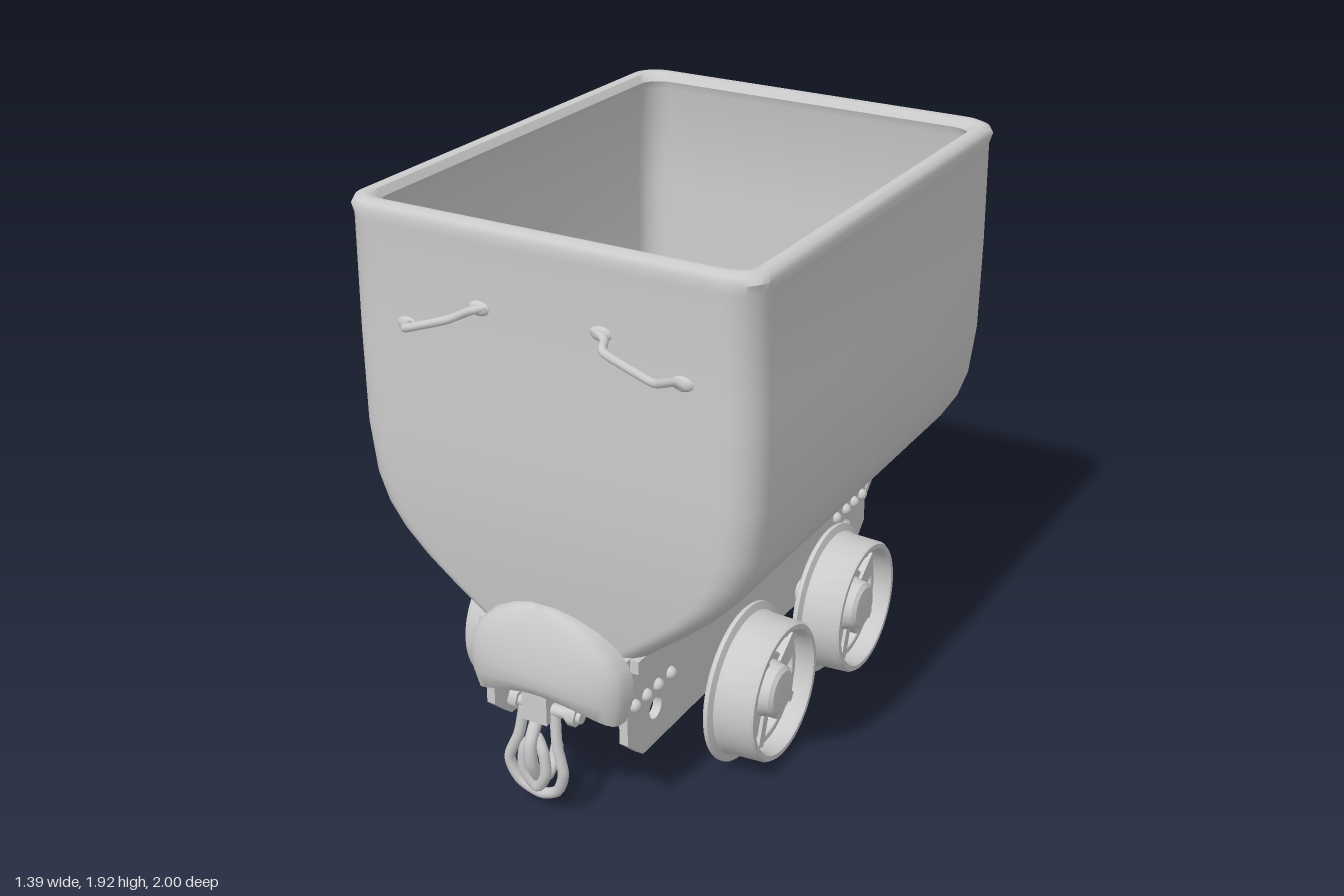
import * as THREE from 'three';
import { toCreasedNormals } from 'three/addons/utils/BufferGeometryUtils.js';

const material = new THREE.MeshStandardMaterial({ color: 0xcccccc });
const V = (x, y, z) => new THREE.Vector3(x, y, z);

function add(parent, name, geometry, x = 0, y = 0, z = 0) {
  const mesh = new THREE.Mesh(geometry, material);
  mesh.name = name;
  mesh.position.set(x, y, z);
  parent.add(mesh);
  return mesh;
}

// Skin over a stack of equal-length rings, capped at both ends
function loft(rings, crease = 0.75) {
  const n = rings[0].length, pos = [], idx = [];
  rings.forEach(r => r.forEach(p => pos.push(p.x, p.y, p.z)));
  for (let i = 0; i < rings.length - 1; i++)
    for (let j = 0; j < n; j++) {
      const k = (j + 1) % n, a = i * n + j, b = i * n + k;
      idx.push(a, b, a + n, b, b + n, a + n);
    }
  [0, rings.length - 1].forEach((i, end) => {
    const c = rings[i].reduce((s, p) => s.add(p), V(0, 0, 0)).divideScalar(n);
    const ci = pos.length / 3;
    pos.push(c.x, c.y, c.z);
    for (let j = 0; j < n; j++) {
      const a = i * n + j, b = i * n + (j + 1) % n;
      idx.push(ci, end ? a : b, end ? b : a);
    }
  });
  const g = new THREE.BufferGeometry();
  g.setAttribute('position', new THREE.Float32BufferAttribute(pos, 3));
  g.setIndex(idx);
  return toCreasedNormals(g, crease);
}

// Rounded rectangle seen from above
function roundedRing(y, hx, zFront, zBack, r) {
  const pts = [], hz = (zFront - zBack) / 2, zc = (zFront + zBack) / 2;
  [[1, 1], [-1, 1], [-1, -1], [1, -1]].forEach(([sx, sz], q) => {
    for (let i = 0; i <= 7; i++) {
      const a = (q + i / 7) * Math.PI / 2;
      const x = sx * (hx - r) + r * Math.cos(a);
      const z = zc - sz * (hz - r) - r * Math.sin(a);
      pts.push(V(x, y - (y > 1.8 ? 0.015 * x : 0), z));
    }
  });
  return pts;
}

function tube(points, radius, closed = false) {
  const curve = new THREE.CatmullRomCurve3(points.map(p => V(...p)), closed, 'catmullrom', 0.4);
  return new THREE.TubeGeometry(curve, 48, radius, 10, closed);
}

function cylinderX(radius, length, sides = 32) {
  return new THREE.CylinderGeometry(radius, radius, length, sides).rotateZ(Math.PI / 2);
}

// Open tub: outer wall up, over the rim, inner wall down
function makeTub(parent) {
  const wall = [ // y, half width, front z, back z
    [0.58, 0.27, 0.855, -0.83], [0.63, 0.33, 0.86, -0.835], [0.70, 0.42, 0.865, -0.84],
    [0.78, 0.515, 0.87, -0.845], [0.86, 0.59, 0.875, -0.85], [0.94, 0.64, 0.88, -0.855],
    [1.03, 0.67, 0.885, -0.865], [1.20, 0.688, 0.89, -0.875], [1.5, 0.69, 0.89, -0.88],
    [1.86, 0.685, 0.89, -0.885],
  ];
  const outer = wall.map(([y, w, f, b]) => roundedRing(y, w, f, b, 0.1));
  const rim = [[1.89, 0.693, 0.1], [1.91, 0.685, 0.1], [1.92, 0.665, 0.09], [1.915, 0.64, 0.08], [1.89, 0.625, 0.08]]
    .map(([y, w, r]) => roundedRing(y, w, w + 0.2, -w - 0.2, r));
  const inner = wall.slice().reverse().map(([y, w, f, b]) =>
    roundedRing(Math.min(y + 0.03, 1.86), w - 0.05, f - 0.05, b + 0.05, 0.08));
  add(parent, 'tub', loft([...outer, ...rim, ...inner]));
}

// Side frame plate with chamfered ends, drain holes and rivets
function makeFrame(parent) {
  const shape = new THREE.Shape([[-0.87, 0.61], [-0.87, 0.31], [-0.78, 0.23], [0.78, 0.23], [0.87, 0.31], [0.87, 0.61]]
    .map(p => new THREE.Vector2(...p)));
  for (const s of [-1, 1]) shape.holes.push(new THREE.Path().absarc(s * 0.7, 0.355, 0.037, 0, Math.PI * 2));
  const plate = new THREE.ExtrudeGeometry(shape, { depth: 0.03, bevelEnabled: false, curveSegments: 20 })
    .rotateY(-Math.PI / 2).translate(0.015, 0, 0);
  for (const s of [-1, 1]) {
    add(parent, 'framePlate', plate, s * 0.245);
    add(parent, 'frameFlange', new THREE.BoxGeometry(0.05, 0.045, 1.7), s * 0.265, 0.585);
    for (const e of [-1, 1]) for (const z of [0.61, 0.69, 0.76, 0.83])
      add(parent, 'rivet', new THREE.SphereGeometry(0.022, 12, 8), s * 0.262, 0.435, e * z);
  }
  add(parent, 'frameTop', new THREE.BoxGeometry(0.5, 0.03, 1.7), 0, 0.585);
}

// Flanged wheel with a pierced web; +x is the outer side, x = 0 the flange face
function makeWheel() {
  const wheel = new THREE.Group();
  wheel.name = 'wheel';
  const profile = [[0.205, 0], [0.265, 0], [0.27, 0.006], [0.27, 0.018], [0.245, 0.026], [0.24, 0.04],
    [0.235, 0.15], [0.228, 0.16], [0.212, 0.16], [0.205, 0.15], [0.2, 0.06], [0.205, 0]];
  const rim = new THREE.LatheGeometry(profile.map(p => new THREE.Vector2(...p)), 56).rotateZ(-Math.PI / 2);
  add(wheel, 'rim', toCreasedNormals(rim, 0.6));

  const web = new THREE.Shape().absarc(0, 0, 0.21, 0, Math.PI * 2);
  for (let i = 0; i < 5; i++) {
    const a = i * Math.PI * 0.4 + 0.3;
    const hole = new THREE.Path();
    hole.absarc(0, 0, 0.185, a + 0.16, a + 1.1, false);
    hole.absarc(0, 0, 0.115, a + 0.93, a + 0.33, true);
    hole.closePath();
    web.holes.push(hole);
    const spoke = add(wheel, 'spokeRib', new THREE.BoxGeometry(0.035, 0.13, 0.035).translate(0.09, 0.14, 0));
    spoke.rotation.x = a;
  }
  add(wheel, 'web', new THREE.ExtrudeGeometry(web, { depth: 0.03, bevelEnabled: true, bevelSize: 0.006,
    bevelThickness: 0.006, bevelSegments: 2, curveSegments: 20 }).rotateY(Math.PI / 2), 0.06);

  const hub = [[0, -0.07], [0.09, -0.07], [0.1, -0.06], [0.1, 0.08], [0.088, 0.12], [0.085, 0.14], [0.07, 0.152], [0, 0.155]];
  add(wheel, 'hub', toCreasedNormals(new THREE.LatheGeometry(hub.map(p => new THREE.Vector2(...p)), 36).rotateZ(-Math.PI / 2), 0.6));
  return wheel;
}

function makeAxle(parent, z) {
  const axle = new THREE.Group();
  axle.name = 'wheelSet';
  axle.position.set(-0.03, 0.275, z);
  parent.add(axle);
  add(axle, 'axleShaft', cylinderX(0.04, 0.76));
  add(axle, 'axlePlate', new THREE.BoxGeometry(0.47, 0.03, 0.2), 0.03, -0.03);
  for (const s of [-1, 1]) {
    const wheel = makeWheel();
    wheel.position.x = s * 0.39;
    if (s < 0) wheel.rotation.y = Math.PI;
    axle.add(wheel);
    add(axle, 'axleBearing', new THREE.BoxGeometry(0.07, 0.1, 0.16), 0.03 + s * 0.215, 0.01);
    for (const e of [-1, 1]) add(axle, 'bearingBolt', new THREE.CylinderGeometry(0.016, 0.016, 0.03, 6), 0.03 + s * 0.19, -0.05, e * 0.07);
  }
}

// Domed buffer, coupling chain and grab handles for one end
function makeEnd() {
  const end = new THREE.Group();
  end.name = 'endFittings';
  const rings = [[0.40, 0.255, 0.87, 0.985], [0.47, 0.275, 0.865, 1.0], [0.55, 0.28, 0.865, 1.0], [0.60, 0.268, 0.87, 0.995],
    [0.65, 0.235, 0.88, 0.985], [0.70, 0.18, 0.895, 0.97], [0.74, 0.105, 0.91, 0.952], [0.76, 0.04, 0.92, 0.94]]
    .map(([y, w, zb, zf]) => Array.from({ length: 40 }, (_, j) => {
      const a = j / 40 * Math.PI * 2, u = Math.cos(a), s = -Math.sin(a);
      const arch = 0.08 * (1 - u * u) * Math.max(0, (0.55 - y) / 0.15);
      return V(w * u, y + arch, s > 0 ? zb + (zf - zb) * Math.pow(s, 0.6) : zb);
    }));
  add(end, 'buffer', loft(rings, 0.9));

  // Coupling: pin, lugs, long outer link, small link and hook
  add(end, 'couplingPin', cylinderX(0.02, 0.26, 16), 0, 0.4, 0.92);
  for (const x of [-0.11, 0.1]) add(end, 'pinNut', cylinderX(0.034, 0.03, 6), x, 0.4, 0.92);
  add(end, 'couplingLug', new THREE.BoxGeometry(0.09, 0.12, 0.1), -0.02, 0.42, 0.91);
  add(end, 'outerLink', tube([[-0.08, 0.4, 0.92], [-0.1, 0.28, 0.93], [-0.14, 0.18, 0.93], [-0.11, 0.1, 0.92], [-0.04, 0.065, 0.91],
    [0.03, 0.1, 0.92], [0.06, 0.18, 0.93], [0.04, 0.28, 0.93], [0.03, 0.4, 0.92]], 0.018));
  add(end, 'innerLink', tube([[-0.04, 0.29, 0.93], [-0.075, 0.24, 0.94], [-0.08, 0.16, 0.94], [-0.04, 0.1, 0.93],
    [0, 0.16, 0.94], [-0.005, 0.24, 0.94]], 0.018, true));
  add(end, 'hook', tube([[-0.04, 0.37, 0.9], [-0.04, 0.28, 0.955], [-0.04, 0.2, 0.955], [-0.04, 0.13, 0.915],
    [-0.04, 0.11, 0.87], [-0.04, 0.14, 0.83], [-0.04, 0.18, 0.81]], 0.021));
  add(end, 'hookTip', new THREE.SphereGeometry(0.021, 12, 8), -0.04, 0.18, 0.81);

  for (const s of [-1, 1]) {
    add(end, 'grabHandle', tube([[s * 0.18, 1.672, 0.885], [s * 0.225, 1.658, 0.905], [s * 0.25, 1.65, 0.955], [s * 0.275, 1.64, 0.966],
      [s * 0.4, 1.595, 0.966], [s * 0.425, 1.585, 0.955], [s * 0.45, 1.575, 0.905], [s * 0.48, 1.56, 0.885]], 0.013));
    for (const [x, y] of [[0.205, 1.665], [0.465, 1.568]]) {
      const foot = add(end, 'handleFoot', new THREE.SphereGeometry(0.035, 14, 8), s * x, y, 0.885);
      foot.scale.set(1.1, 0.7, 0.5);
    }
  }
  return end;
}

export function createModel() {
  const cart = new THREE.Group();
  cart.name = 'mineCart';
  makeTub(cart);
  makeFrame(cart);
  makeAxle(cart, 0.31);
  makeAxle(cart, -0.325);
  for (const turn of [0, Math.PI]) {
    const end = makeEnd();
    end.rotation.y = turn;
    cart.add(end);
  }
  return cart;
}
